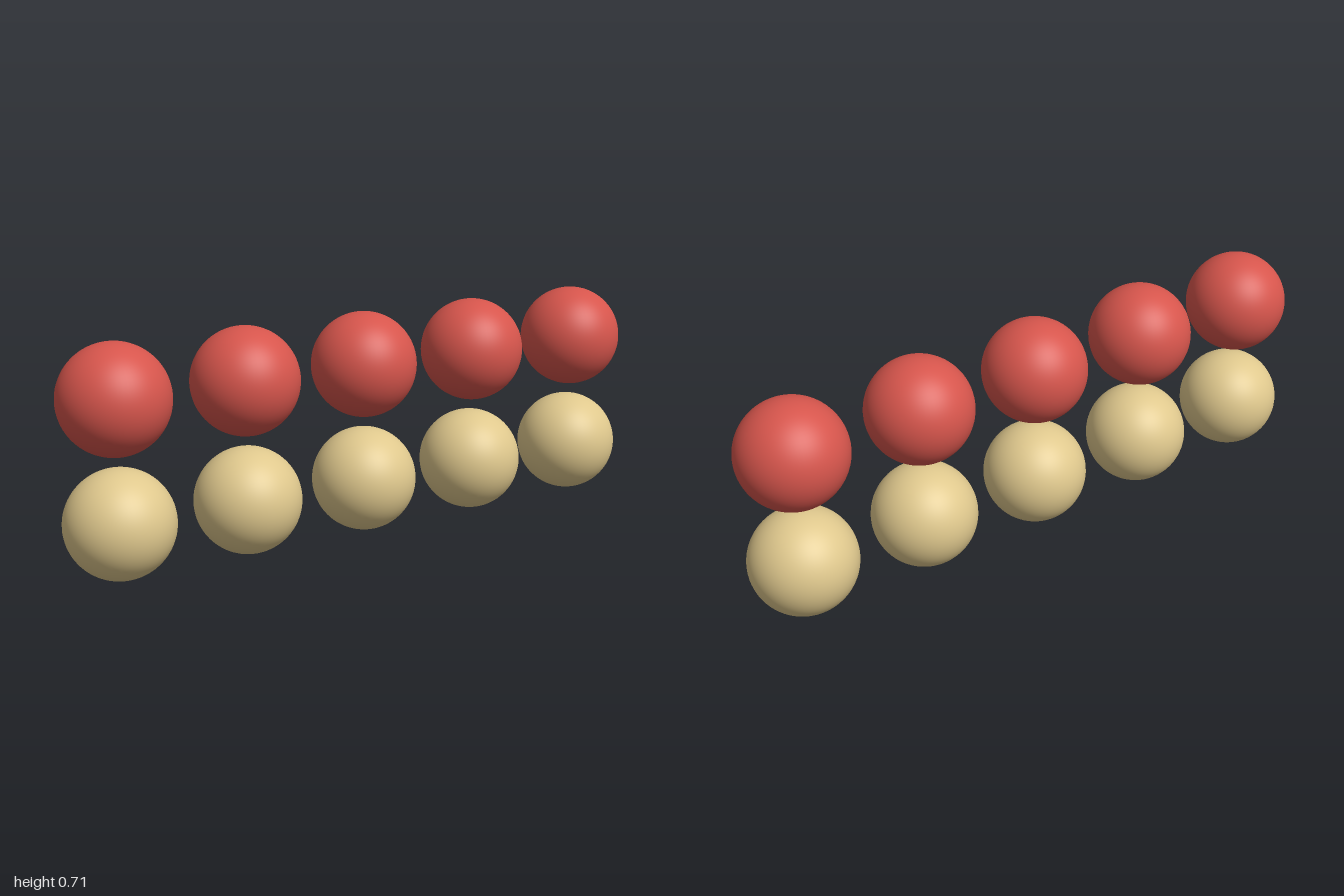
import * as THREE from 'three';

const RADIUS = 1 / 6;
const COLUMNS = 5;
const COLUMN_STEP = RADIUS * 2.5;
const ROW_STEP = RADIUS * 2.25;

export function createModel() {
  const model = new THREE.Group();
  model.name = 'sphereRows';

  const tan = new THREE.MeshStandardMaterial({ color: 0xdfc88d });
  tan.name = 'tan';
  const red = new THREE.MeshStandardMaterial({ color: 0xd6554c });
  red.name = 'red';

  const ball = new THREE.SphereGeometry(RADIUS, 64, 40);

  // One evenly spaced row of balls, centred on x = 0
  function addRow(name, material, y) {
    const row = new THREE.Group();
    row.name = name + 'Row';
    row.position.y = y;
    for (let i = 0; i < COLUMNS; i++) {
      const mesh = new THREE.Mesh(ball, material);
      mesh.name = name + 'Ball' + (i + 1);
      mesh.position.x = (i - (COLUMNS - 1) / 2) * COLUMN_STEP;
      row.add(mesh);
    }
    model.add(row);
  }

  addRow('lower', tan, RADIUS);
  addRow('upper', red, RADIUS + ROW_STEP);

  return model;
}
